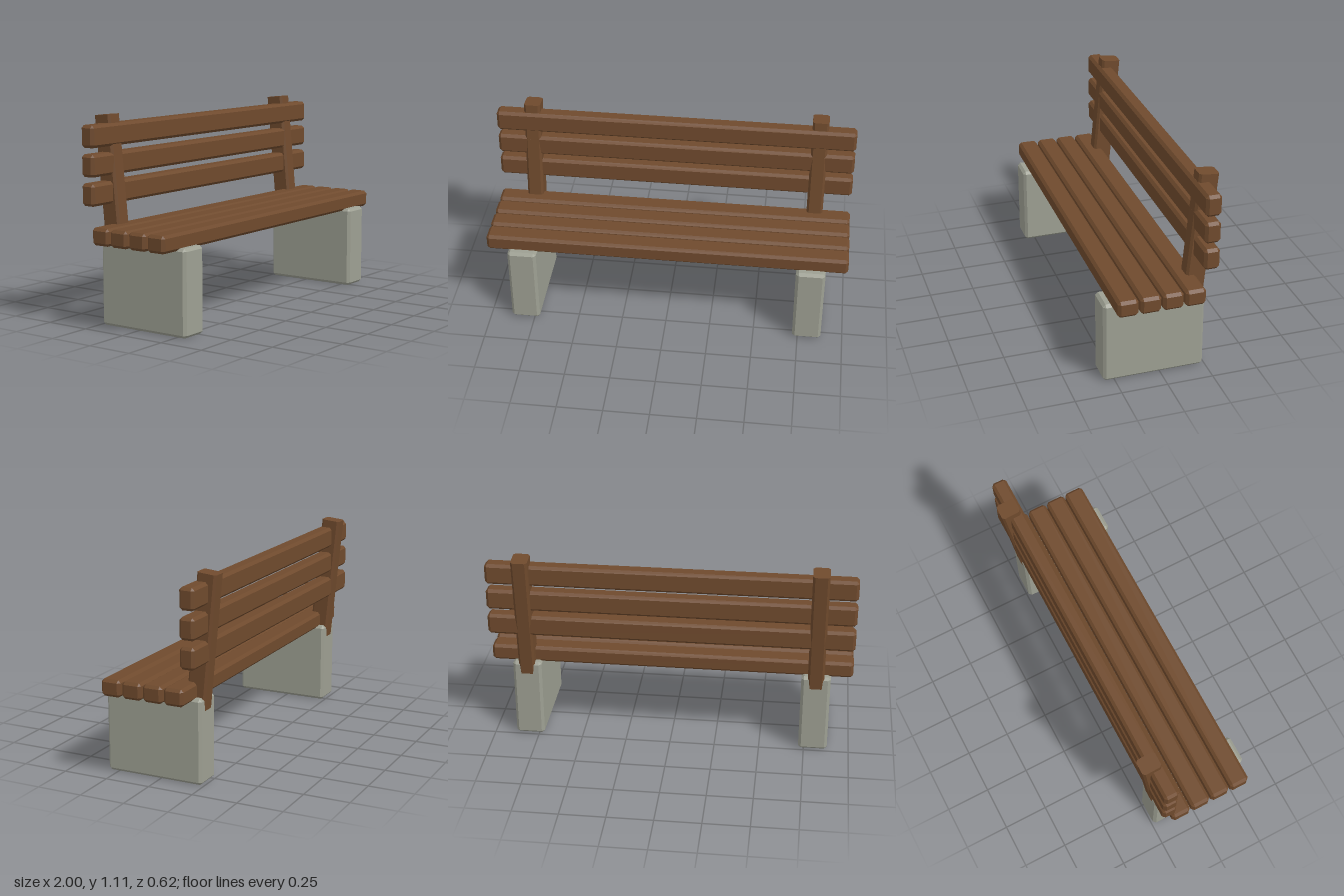
import * as THREE from 'three';
import { ConvexGeometry } from 'three/addons/geometries/ConvexGeometry.js';

// Box with every edge cut at 45 degrees
function chamferBox(w, h, d, c) {
  const points = [];
  for (const x of [-1, 1]) for (const y of [-1, 1]) for (const z of [-1, 1]) {
    const X = w / 2, Y = h / 2, Z = d / 2;
    points.push(
      new THREE.Vector3(x * X, y * (Y - c), z * (Z - c)),
      new THREE.Vector3(x * (X - c), y * Y, z * (Z - c)),
      new THREE.Vector3(x * (X - c), y * (Y - c), z * Z)
    );
  }
  return new ConvexGeometry(points);
}

// Post with cut long edges and square ends, hanging down from its top at the origin
function postGeometry(w, d, length, c) {
  const x = w / 2, z = d / 2;
  const outline = [
    [x, z - c], [x - c, z], [c - x, z], [-x, z - c],
    [-x, c - z], [c - x, -z], [x - c, -z], [x, c - z]
  ].map(([a, b]) => new THREE.Vector2(a, b));
  const geometry = new THREE.ExtrudeGeometry(new THREE.Shape(outline), { depth: length, bevelEnabled: false });
  return geometry.rotateX(Math.PI / 2);
}

export function createModel() {
  const bench = new THREE.Group();
  bench.name = 'bench';
  const wood = new THREE.MeshStandardMaterial({ color: 0x6f4a2d });
  wood.name = 'brown wood';
  const concrete = new THREE.MeshStandardMaterial({ color: 0x9d9f92 });
  concrete.name = 'grey concrete';

  function add(name, geometry, material, x, y, z) {
    const mesh = new THREE.Mesh(geometry, material);
    mesh.name = name;
    mesh.position.set(x, y, z);
    bench.add(mesh);
    return mesh;
  }

  // Concrete supports and leaning back posts, mirrored
  const support = chamferBox(0.16, 0.46, 0.55, 0.015);
  const post = postGeometry(0.09, 0.107, 0.73, 0.012);
  for (const [side, s] of [['left', 1], ['right', -1]]) {
    add(side + 'Support', support, concrete, s * 0.8, 0.23, 0.035);
    add(side + 'BackPost', post, wood, s * 0.8, 1.102, -0.256).rotation.x = -0.0975;
  }

  // Seat slats, front to back
  const seatSlat = chamferBox(2, 0.092, 0.11, 0.015);
  for (let i = 0; i < 4; i++) add('seatSlat' + (i + 1), seatSlat, wood, 0, 0.492, 0.215 - i * 0.12);

  // Backrest slats, bottom to top
  const backSlat = chamferBox(2, 0.117, 0.084, 0.015);
  for (let i = 0; i < 3; i++) add('backSlat' + (i + 1), backSlat, wood, 0, 0.702 + i * 0.15, -0.224);

  return bench;
}
